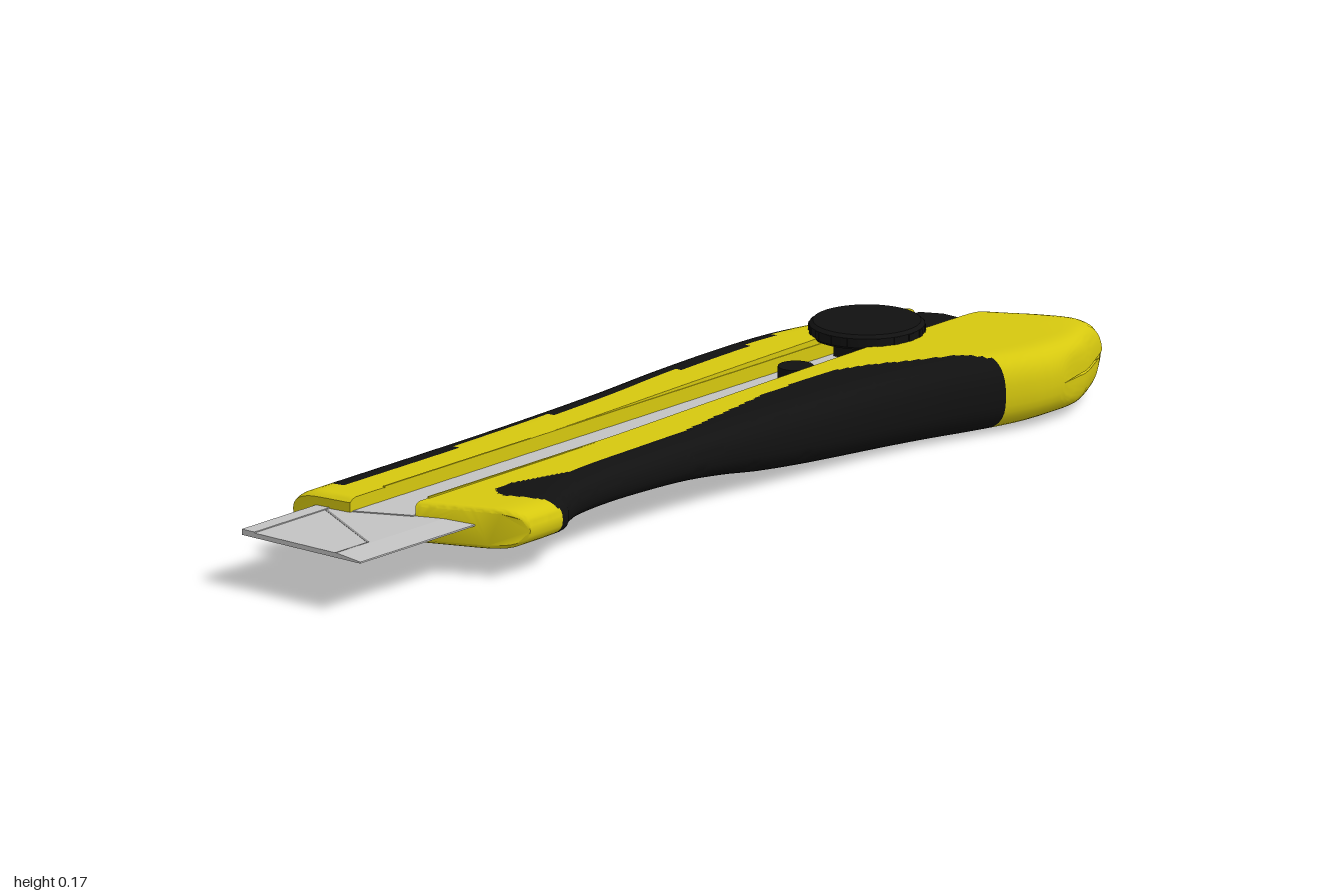
import * as THREE from 'three';
import { toCreasedNormals } from 'three/addons/utils/BufferGeometryUtils.js';

// Curve through [position, value] pairs
function table(pairs, Type = THREE.CubicInterpolant) {
  const f = new Type(pairs.map(p => p[0]), pairs.map(p => p[1]), 1, new Float32Array(1));
  return t => f.evaluate(t)[0];
}
const linear = pairs => table(pairs, THREE.LinearInterpolant);

// Handle outline and height along x
const zFront = table([[-0.8, 0.18], [-0.6, 0.18], [-0.55, 0.178], [-0.5, 0.162], [-0.45, 0.142], [-0.38, 0.13], [-0.2, 0.126],
  [0, 0.13], [0.2, 0.145], [0.4, 0.167], [0.5, 0.187], [0.6, 0.217], [0.7, 0.248], [0.74, 0.254]]);
const zBack = table([[-0.8, -0.245], [0, -0.245], [0.2, -0.256], [0.4, -0.257], [0.5, -0.248], [0.6, -0.224], [0.7, -0.187], [0.74, -0.168]]);
const yBottom = table([[-0.8, 0.052], [-0.15, 0.05], [0, 0.036], [0.1, 0.022], [0.3, 0.007], [0.6, 0], [0.74, 0.004]]);
const yTop = table([[-0.8, 0.13], [-0.3, 0.132], [0.2, 0.14], [0.6, 0.145], [0.74, 0.145]]);
// Slanted ends, as x along z
const noseX = linear([[-0.25, -0.8], [-0.12, -0.785], [-0.015, -0.725], [0.16, -0.65], [0.18, -0.63]]);
const tailX = linear([[-0.17, 0.755], [-0.155, 0.775], [-0.12, 0.8], [-0.015, 0.905], [0.06, 0.965],
  [0.1, 0.99], [0.125, 0.998], [0.15, 0.99], [0.175, 0.97], [0.235, 0.86], [0.25, 0.79], [0.256, 0.765]]);
// Inner edge of the front grip
const gripEdge = linear([[-0.59, 0.08], [-0.57, 0.042], [-0.52, 0.036], [-0.4, 0.07], [-0.1, 0.07], [0.2, 0.03], [0.38, 0.03],
  [0.45, 0.06], [0.6, 0.145], [0.64, 0.2]]);

const SLOT_BACK = -0.12, SLOT_FRONT = -0.015, SLOT_FLOOR = 0.09, NOSE = -0.8, TAIL = 0.74;

// Rounded cross-section with a slot in its top, as [z, y] points
function section(x) {
  const zf = zFront(x), zb = zBack(x), y0 = yBottom(x), y1 = yTop(x);
  const mid = (y0 + y1) / 2, h = (y1 - y0) / 2, pts = [];
  const flat = (a, b, y, n) => { for (let i = 0; i < n; i++) pts.push([a + (b - a) * i / n, y]); };
  const corner = (edge, side, r, up, from, to) => {
    for (let i = 0; i < 9; i++) {
      const a = (from + (to - from) * i / 9) * Math.PI / 2;
      pts.push([edge - side * r * (1 - Math.pow(Math.abs(Math.cos(a)), 0.78)), mid + up * h * Math.pow(Math.abs(Math.sin(a)), 0.78)]);
    }
  };
  const rt = 0.06, rb = 0.09, rk = Math.min(0.06, (SLOT_BACK - zb) * 0.9);
  flat(SLOT_FRONT, zf - rt, y1, 20);
  corner(zf, 1, rt, 1, 1, 0);
  corner(zf, 1, rb, -1, 0, 1);
  flat(zf - rb, zb + rb, y0, 20);
  corner(zb, -1, rb, -1, 1, 0);
  corner(zb, -1, rk, 1, 0, 1);
  flat(zb + rk, SLOT_BACK, y1, 6);
  pts.push([SLOT_BACK, y1], [SLOT_BACK, SLOT_FLOOR], [SLOT_FRONT, SLOT_FLOOR]);
  return { pts, mid };
}

function isGrip(x, y, z, s) {
  const under = y < 0.075 && y < s.mid - 0.012;
  const back = under ? zBack(x) + 0.045 : -0.19 - Math.max(0, x - 0.4) * 0.08;
  if (z < back && x > -0.725 && x < 0.63) return true;
  const left = -0.59 + Math.max(0, z - 0.07) * 0.45;
  const front = under ? Math.max(gripEdge(x), zFront(x) - 0.045) : gripEdge(x);
  return z > front && x > left && x < 0.64;
}

function handleGeometry() {
  const rings = [];
  const add = (x, scale, place) => {
    const s = section(x);
    rings.push({ s, pts: s.pts.map(([z, y]) => new THREE.Vector3(place(z), s.mid + (y - s.mid) * scale, z)) });
  };
  // Slanted nose blending into straight stations
  const blendEnd = -0.5;
  const station = x => z => x > blendEnd ? x : noseX(z) + (x - NOSE) / (blendEnd - NOSE) * (blendEnd - noseX(z));
  add(NOSE, 0.8, station(NOSE));
  add(NOSE + 0.006, 0.93, station(NOSE + 0.006));
  for (let i = 0; i <= 150; i++) {
    const x = NOSE + 0.016 + (TAIL - NOSE - 0.016) * i / 150;
    add(x, 1, station(x));
  }
  // Domed tail
  for (let i = 1; i <= 20; i++) {
    const v = Math.sin(i / 20 * Math.PI / 2);
    add(TAIL, Math.max(0.04, Math.sqrt(1 - v ** 6)), z => TAIL + v * (tailX(z) - TAIL));
  }

  const parts = [[], []];
  const n = rings[0].pts.length;
  for (let i = 0; i < rings.length - 1; i++) {
    for (let j = 0; j < n; j++) {
      const k = (j + 1) % n, A = rings[i].pts, B = rings[i + 1].pts;
      const c = A[j].clone().add(A[k]).add(B[j]).add(B[k]).multiplyScalar(0.25);
      const out = parts[isGrip(c.x, c.y, c.z, rings[i].s) ? 1 : 0];
      out.push(A[j], A[k], B[j], A[k], B[k], B[j]);
    }
  }
  // End caps
  for (const [ring, sign] of [[rings[0].pts, -1], [rings[rings.length - 1].pts, 1]]) {
    const flat = ring.map(p => new THREE.Vector2(p.z, p.y));
    for (const [a, b, c] of THREE.ShapeUtils.triangulateShape(flat, [])) {
      const cross = flat[b].clone().sub(flat[a]).cross(flat[c].clone().sub(flat[a]));
      if (-cross * sign > 0) parts[0].push(ring[a], ring[b], ring[c]);
      else parts[0].push(ring[a], ring[c], ring[b]);
    }
  }
  const g = new THREE.BufferGeometry().setFromPoints([...parts[0], ...parts[1]]);
  g.addGroup(0, parts[0].length, 0);
  g.addGroup(parts[0].length, parts[1].length, 1);
  return toCreasedNormals(g, 0.7);
}

// Flat plate from [x, z] corners
function plate(corners, y, height) {
  const shape = new THREE.Shape(corners.map(([x, z]) => new THREE.Vector2(x, -z)));
  return new THREE.ExtrudeGeometry(shape, { depth: height, bevelEnabled: false }).rotateX(-Math.PI / 2).translate(0, y, 0);
}

export function createModel() {
  const model = new THREE.Group();
  model.name = 'utilityKnife';
  const mat = (name, color) => Object.assign(new THREE.MeshStandardMaterial({ color }), { name });
  const yellow = mat('yellow plastic', 0xd6c80f);
  const black = mat('black rubber', 0x111111);
  const steel = mat('steel', 0xc2c2c2);
  const score = mat('score line grey', 0x8c8c8c);
  const add = (name, geometry, material) => {
    const m = new THREE.Mesh(geometry, material);
    m.name = name;
    model.add(m);
    return m;
  };

  add('handle', handleGeometry(), [yellow, black]);

  // Blade with a ground front edge
  const profile = new THREE.Shape([[0.195, 0.095], [0.195, 0.106], [0.165, 0.106], [0.165, 0.104], [-0.035, 0.104], [-0.09, 0.098], [-0.09, 0.095]]
    .map(([x, y]) => new THREE.Vector2(x, y)));
  add('blade', new THREE.ExtrudeGeometry(profile, { depth: 0.9, bevelEnabled: false }).rotateY(Math.PI / 2).translate(-1, 0, 0), steel);
  add('bladeScoreLine', plate([[-0.912, 0.03], [-0.906, 0.03], [-0.797, -0.165], [-0.803, -0.165]], 0.1035, 0.001), score);
  add('bladeEdgeLine', plate([[-1, 0.028], [-1, 0.031], [-0.908, 0.031], [-0.908, 0.028]], 0.1035, 0.001), score);

  // Rail along the slot
  add('slotRail', plate([[-0.78, -0.119], [0.79, -0.119], [0.86, -0.04], [0.86, -0.016], [-0.73, -0.016]], 0.088, 0.018), steel);
  for (const z of [-0.1205, -0.0145]) {
    add('slotLip', new THREE.BoxGeometry(1.42, 0.004, 0.004).translate(0.02, 0.131, z), yellow);
  }

  // Slider, lock wheel and small button
  add('sliderBlock', plate([[0.55, -0.11], [0.79, -0.11], [0.81, -0.07], [0.81, -0.022], [0.55, -0.022]], 0.1, 0.036), black);
  const wheel = [[0, 0.138], [0.103, 0.138], [0.106, 0.142], [0.106, 0.159], [0.099, 0.165], [0, 0.165]].map(([r, y]) => new THREE.Vector2(r, y));
  add('lockWheel', toCreasedNormals(new THREE.LatheGeometry(wheel, 40), 0.4), black).position.set(0.615, 0, -0.085);
  for (let i = 0; i < 20; i++) {
    const a = i / 20 * Math.PI * 2;
    add('wheelRib', new THREE.BoxGeometry(0.008, 0.016, 0.012).translate(0.103, 0.1505, 0).rotateY(a).translate(0.615, 0, -0.085), black);
  }
  add('smallButton', new THREE.CylinderGeometry(0.033, 0.033, 0.045, 24).translate(0.383, 0.1125, -0.056), black);
  return model;
}
